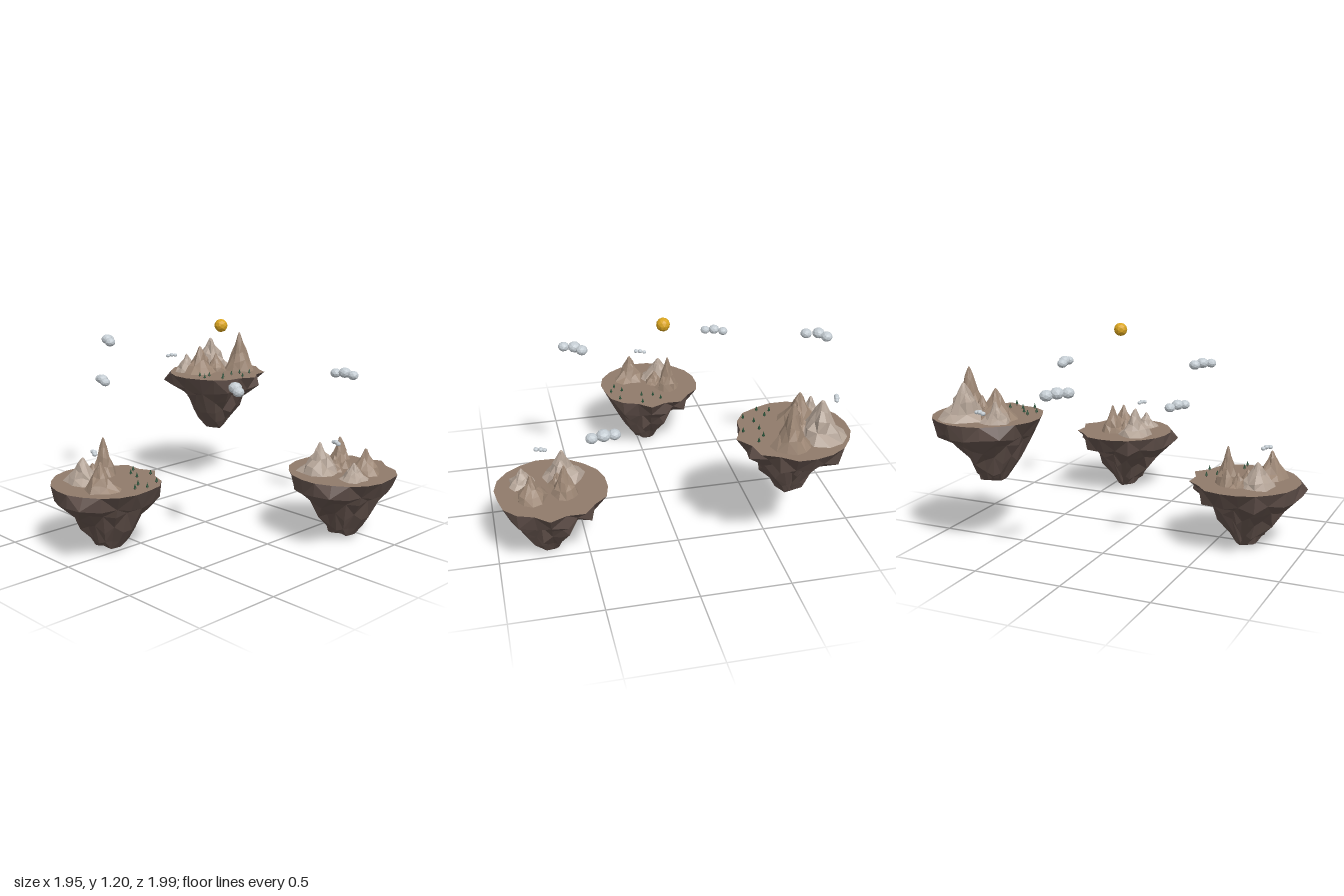
import * as THREE from 'three';

const mat = (color) => new THREE.MeshStandardMaterial({ color, flatShading: true, side: THREE.DoubleSide });
const rockMat = mat(0x5f4f49), groundMat = mat(0x8f7a6a), tanMat = mat(0x9c8674), paleMat = mat(0xb3a396);
const leafMat = mat(0x1f4a30), cloudMat = mat(0xc4ccd2), goldMat = mat(0xdaa520);

// Small seeded generator giving values in -1..1
function seeded(seed) {
  let s = seed * 7919 + 17;
  return () => ((s = (s * 16807) % 2147483647) / 2147483647) * 2 - 1;
}

// Faceted surface through closed rings of points, listed from top to bottom
function loft(rings) {
  const pos = [];
  for (let k = 0; k < rings.length - 1; k++) {
    const a = rings[k], b = rings[k + 1], n = a.length;
    for (let i = 0; i < n; i++) {
      const j = (i + 1) % n;
      const tris = (i + k) % 2 ? [a[i], a[j], b[j], a[i], b[j], b[i]] : [a[i], a[j], b[i], a[j], b[j], b[i]];
      tris.forEach((p) => pos.push(...p));
    }
  }
  const g = new THREE.BufferGeometry();
  g.setAttribute('position', new THREE.Float32BufferAttribute(pos, 3));
  g.computeVertexNormals();
  return g;
}

function add(parent, name, geometry, material, x = 0, y = 0, z = 0) {
  const m = new THREE.Mesh(geometry, material);
  m.name = name;
  m.position.set(x, y, z);
  parent.add(m);
  return m;
}

const TOP = 0.385;
// Rim radius around the island
const RIM = [0.315, 0.275, 0.3, 0.31, 0.3, 0.31, 0.315, 0.31, 0.305, 0.31,
  0.305, 0.305, 0.3, 0.305, 0.305, 0.305, 0.31, 0.285, 0.31, 0.275];
// Height, then reach towards +x, +z, -x, -z
const LEVELS = [
  [0.3, 0.265, 0.26, 0.295, 0.245],
  [0.24, 0.2, 0.215, 0.22, 0.15],
  [0.16, 0.16, 0.175, 0.165, 0.09],
  [0.075, 0.085, 0.125, 0.11, 0.045],
  [0.03, 0.045, 0.09, 0.08, 0.02],
];
const angle = (i) => ((i * 18 + 8) * Math.PI) / 180;

// Hanging rock with a flat ground on top
function islandBase() {
  const rnd = seeded(5);
  const rim = RIM.map((r, i) => [r * Math.cos(angle(i)), TOP, r * Math.sin(angle(i))]);
  const rings = [rim];
  LEVELS.forEach(([y, px, pz, nx, nz], k) => {
    rings.push(RIM.map((_, i) => {
      const c = Math.cos(angle(i)), s = Math.sin(angle(i));
      let r = (c > 0 ? px : nx) * c * c + (s > 0 ? pz : nz) * s * s;
      r *= 1 + 0.11 * rnd();
      if (k === 0 && i === 8) r = 0.355; // jutting corner
      return [r * c, y + rnd() * (k < 3 ? 0.025 : 0.012), r * s];
    }));
  });
  rings.push(RIM.map(() => [0.02, 0, 0]));
  const g = new THREE.Group();
  add(g, 'rock', loft(rings), rockMat);
  add(g, 'ground', loft([RIM.map(() => [0, TOP, 0]), rim]), groundMat);
  return g;
}

// Craggy peak with concave sides
function mountainGeometry(h, r, seed) {
  const rnd = seeded(seed), n = 11;
  const profile = [[1, 0], [0.95, 0.08], [0.72, 0.25], [0.47, 0.46], [0.22, 0.72], [0, 1]];
  return loft(profile.map(([y, w], k) => Array.from({ length: n }, (_, i) => {
    const a = (i / n) * Math.PI * 2, q = r * w * (1 + 0.2 * rnd());
    const yy = k > 1 && k < 5 ? y + 0.07 * rnd() : y;
    return [q * Math.cos(a), yy * h, q * Math.sin(a)];
  })));
}

// Row of flattened lumps; each lump is [x, z, radius]
function cloud(parent, y, lumps, seed) {
  const g = new THREE.Group();
  g.name = 'cloud';
  lumps.forEach(([x, z, r], i) => {
    const m = add(g, 'cloudLump', new THREE.IcosahedronGeometry(r, 1), cloudMat, x, y + (i % 2 ? 0.12 : -0.12) * r, z);
    m.scale.y = 0.85;
    m.rotation.y = seed + i * 1.3;
  });
  parent.add(g);
}

// Peaks are [x, z, top height, radius, pale]
const ISLANDS = [
  {
    name: 'leftIsland', at: [-0.67, 0, -0.08], turn: 0,
    peaks: [[-0.765, -0.16, 0.52, 0.105, 1], [-0.605, -0.185, 0.6, 0.075, 0], [-0.79, 0.025, 0.54, 0.095, 0],
      [-0.7, -0.12, 0.46, 0.06, 0], [-0.67, -0.2, 0.46, 0.06, 0]],
    trees: [[-0.455, -0.11], [-0.505, -0.07], [-0.52, 0], [-0.43, 0.01], [-0.605, 0.11], [-0.66, 0.15], [-0.5, 0.14], [-0.6, 0.18]],
  },
  {
    name: 'frontIsland', at: [0.41, 0, 0.685], turn: 0,
    peaks: [[0.3, 0.61, 0.555, 0.11, 1], [0.465, 0.62, 0.56, 0.08, 0], [0.32, 0.835, 0.48, 0.075, 1],
      [0.47, 0.8, 0.525, 0.085, 0], [0.385, 0.65, 0.47, 0.06, 0]],
    trees: [],
  },
  {
    name: 'backIsland', at: [0.66, 0.35, -0.57], turn: -1.34,
    peaks: [[0.725, -0.7, 0.935, 0.13, 1], [0.808, -0.515, 0.985, 0.095, 0], [0.565, -0.635, 0.905, 0.105, 0],
      [0.52, -0.715, 0.85, 0.075, 1], [0.675, -0.6, 0.85, 0.07, 0]],
    trees: [[0.445, -0.51], [0.49, -0.47], [0.425, -0.445], [0.54, -0.395], [0.62, -0.4], [0.695, -0.4],
      [0.745, -0.36], [0.63, -0.31], [0.49, -0.35]],
  },
];

export function createModel() {
  const model = new THREE.Group();
  model.name = 'floatingIslands';
  ISLANDS.forEach(({ name, at, turn, peaks, trees }, n) => {
    const island = new THREE.Group();
    island.name = name;
    const base = islandBase();
    base.name = 'islandBase';
    base.position.set(...at);
    base.rotation.y = turn;
    island.add(base);
    const ground = at[1] + TOP;
    peaks.forEach(([x, z, top, r, pale], i) =>
      add(island, 'mountain', mountainGeometry(top - ground, r, n * 10 + i + 1), pale ? paleMat : tanMat, x, ground, z));
    trees.forEach(([x, z]) => {
      add(island, 'treeTrunk', new THREE.CylinderGeometry(0.002, 0.002, 0.01, 5), rockMat, x, ground + 0.005, z);
      add(island, 'treeCrown', new THREE.ConeGeometry(0.008, 0.026, 6), leafMat, x, ground + 0.021, z);
    });
    model.add(island);
  });

  // Drifting clouds
  cloud(model, 0.973, [[0.07, -0.965, 0.034], [0.03, -0.93, 0.036], [0.003, -0.865, 0.033]], 1);
  cloud(model, 0.853, [[-0.383, -0.48, 0.028], [-0.405, -0.43, 0.032], [-0.425, -0.38, 0.028]], 2);
  cloud(model, 0.912, [[-0.18, 0.412, 0.034], [-0.215, 0.45, 0.037], [-0.25, 0.507, 0.032]], 3);
  cloud(model, 0.86, [[0.705, 0.383, 0.033], [0.718, 0.44, 0.037], [0.72, 0.5, 0.032]], 4);
  // Small clouds by the peaks
  cloud(model, 0.573, [[-0.765, -0.07, 0.013], [-0.775, -0.045, 0.015], [-0.79, -0.02, 0.014]], 5);
  cloud(model, 0.573, [[0.31, 0.7, 0.013], [0.305, 0.72, 0.015], [0.293, 0.745, 0.014]], 6);
  cloud(model, 0.82, [[0.545, -0.855, 0.013], [0.522, -0.863, 0.015], [0.497, -0.872, 0.014]], 7);

  // Golden sun
  add(model, 'sun', new THREE.IcosahedronGeometry(0.038, 1), goldMat, 0.12, 1.16, 0.005);
  return model;
}
